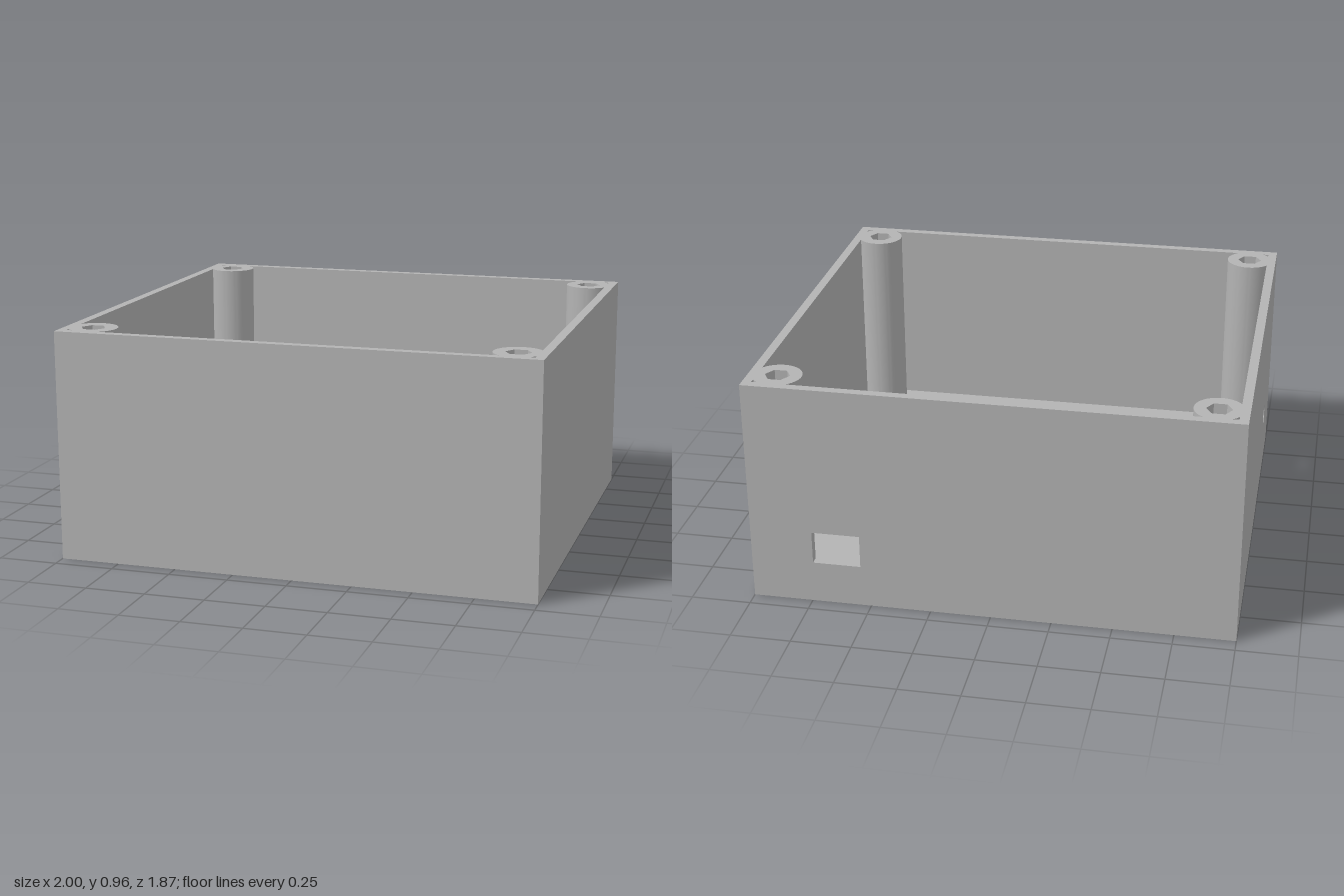
import * as THREE from 'three';
import { mergeGeometries, toCreasedNormals } from 'three/addons/utils/BufferGeometryUtils.js';

const W = 1, D = 0.933, H = 0.96;          // half width, half depth, height
const T = 0.038, FLOOR = 0.12;             // wall and floor thickness
const PX = 0.88, PY = 0.813, PR = 0.1;     // corner post centre and radius
const GAP = W - T - PX;                    // post centre to inner wall
const K = Math.sqrt(PR * PR - GAP * GAP);  // half chord where post meets wall
const ARC = 40;

const v = (x, y) => new THREE.Vector2(x, y);

function rect(x0, y0, x1, y1) {
  return [v(x0, y0), v(x1, y0), v(x1, y1), v(x0, y1)];
}

function arc(cx, cy, r, a0, a1, n) {
  return Array.from({ length: n + 1 }, (_, i) => {
    const a = a0 + (a1 - a0) * i / n;
    return v(cx + r * Math.cos(a), cy + r * Math.sin(a));
  });
}

const ring = (cx, cy, r, n) => arc(cx, cy, r, 0, Math.PI * 2, n).slice(0, n);

// Flat sheet with holes at depth z, facing +z or (flipped) -z
function sheet(points, holes, z, flip = false) {
  const shape = new THREE.Shape(points);
  shape.holes = holes.map((h) => new THREE.Path(h));
  const g = new THREE.ShapeGeometry(shape);
  g.translate(0, 0, z);
  g.deleteAttribute('uv');
  g.deleteAttribute('normal');
  if (flip) g.index.array.reverse();
  return g.toNonIndexed();
}

// Side band of a counter-clockwise loop from z0 to z1, facing out or in
function band(points, z0, z1, inward = false, skip = []) {
  const pos = [];
  points.forEach((p, i) => {
    if (skip.includes(i)) return;
    const q = points[(i + 1) % points.length];
    const [a, b] = inward ? [q, p] : [p, q];
    pos.push(a.x, a.y, z0, b.x, b.y, z0, b.x, b.y, z1);
    pos.push(a.x, a.y, z0, b.x, b.y, z1, a.x, a.y, z1);
  });
  const g = new THREE.BufferGeometry();
  g.setAttribute('position', new THREE.Float32BufferAttribute(pos, 3));
  return g;
}

export function createModel() {
  const group = new THREE.Group();
  const grey = new THREE.MeshStandardMaterial({ color: 0xb3b3b3 });
  grey.name = 'grey';

  const add = (name, parts, orient) => {
    const g = mergeGeometries(parts);
    orient(g);
    const mesh = new THREE.Mesh(toCreasedNormals(g, 0.5), grey);
    mesh.name = name;
    group.add(mesh);
  };
  // Plan (x, y) becomes (x, -z), depth becomes height
  const flat = (g) => g.rotateX(-Math.PI / 2);

  const outer = [v(W, -D), v(W, D), v(-W, D), v(-W, -D)];
  const corners = [[1, 1], [-1, 1], [-1, -1], [1, -1]];

  // Cavity outline wraps round the posts; small pockets remain behind them
  const cavity = [], pockets = [], nuts = [], bores = [];
  const start = Math.atan2(-K, GAP), sweep = Math.PI * 1.5 + 2 * start - Math.PI * 2;
  const reach = -(Math.PI * 2 - (Math.atan2(GAP, -K) - start));
  const pocketA = Math.atan2(K, GAP), pocketB = Math.atan2(GAP, K);
  corners.forEach(([sx, sy], i) => {
    const cx = sx * PX, cy = sy * PY, turn = i * Math.PI / 2;
    cavity.push(...arc(cx, cy, PR, start + turn, start + turn + reach, ARC));
    pockets.push([v(sx * (W - T), sy * (D - T)),
      ...arc(cx, cy, PR, pocketB + turn, pocketA + turn, 6)]);
    nuts.push(ring(cx, cy, 0.052, 6));
    bores.push(ring(cx, cy, 0.025, 24));
  });

  // Floor openings
  const slots = [];
  for (const x of [-0.774, -0.428, 0.478, 0.799]) {
    for (const y of [-0.24, 0.24]) slots.push(rect(x - 0.022, y - 0.067, x + 0.022, y + 0.067));
  }
  const centreNut = ring(0, 0, 0.092, 6);
  const centreHole = ring(0, 0, 0.047, 40);
  const nutFloor = 0.04;

  add('plainOuterWalls', [band(outer, 0, H, false, [1, 2])], flat);
  add('rim', [sheet(outer, [cavity, ...pockets, ...nuts], H)], flat);
  add('innerWallsAndPosts', [
    band(cavity, FLOOR, H, true, [ARC, 2 * ARC + 1]),
    ...pockets.map((p) => band(p, FLOOR, H, true)),
  ], flat);

  add('floor', [
    sheet(cavity, [...slots, centreNut], FLOOR),
    ...pockets.map((p) => sheet(p, [], FLOOR)),
    sheet(outer, [...slots, centreHole], 0, true),
    ...slots.map((s) => band(s, 0, FLOOR, true)),
  ], flat);

  add('centreNutRecess', [
    band(centreNut, nutFloor, FLOOR, true),
    sheet(centreNut, [centreHole], nutFloor),
    band(centreHole, 0, nutFloor, true),
  ], flat);

  // Hexagonal nut pockets and screw bores in the posts
  const ledge = H - 0.1;
  corners.forEach((_, i) => add('postSocket', [
    band(nuts[i], ledge, H, true),
    sheet(nuts[i], [bores[i]], ledge),
    band(bores[i], FLOOR, ledge, true),
    sheet(bores[i], [], FLOOR),
  ], flat));

  // Walls pierced by an opening, built upright
  const pierced = (name, half, innerHalf, face, hole, angle) => add(name, [
    sheet(rect(-half, 0, half, H), [hole], face),
    sheet(rect(-innerHalf, FLOOR, innerHalf, H), [hole], face - T, true),
    band(hole, face - T, face, true),
  ], (g) => g.rotateY(angle));
  pierced('backWall', W, PX - K, D, rect(-0.74, 0.18, -0.54, 0.32), Math.PI);
  pierced('rightHandWall', D, PY - K, W, ring(0.504, 0.32, 0.047, 40), -Math.PI / 2);

  return group;
}
